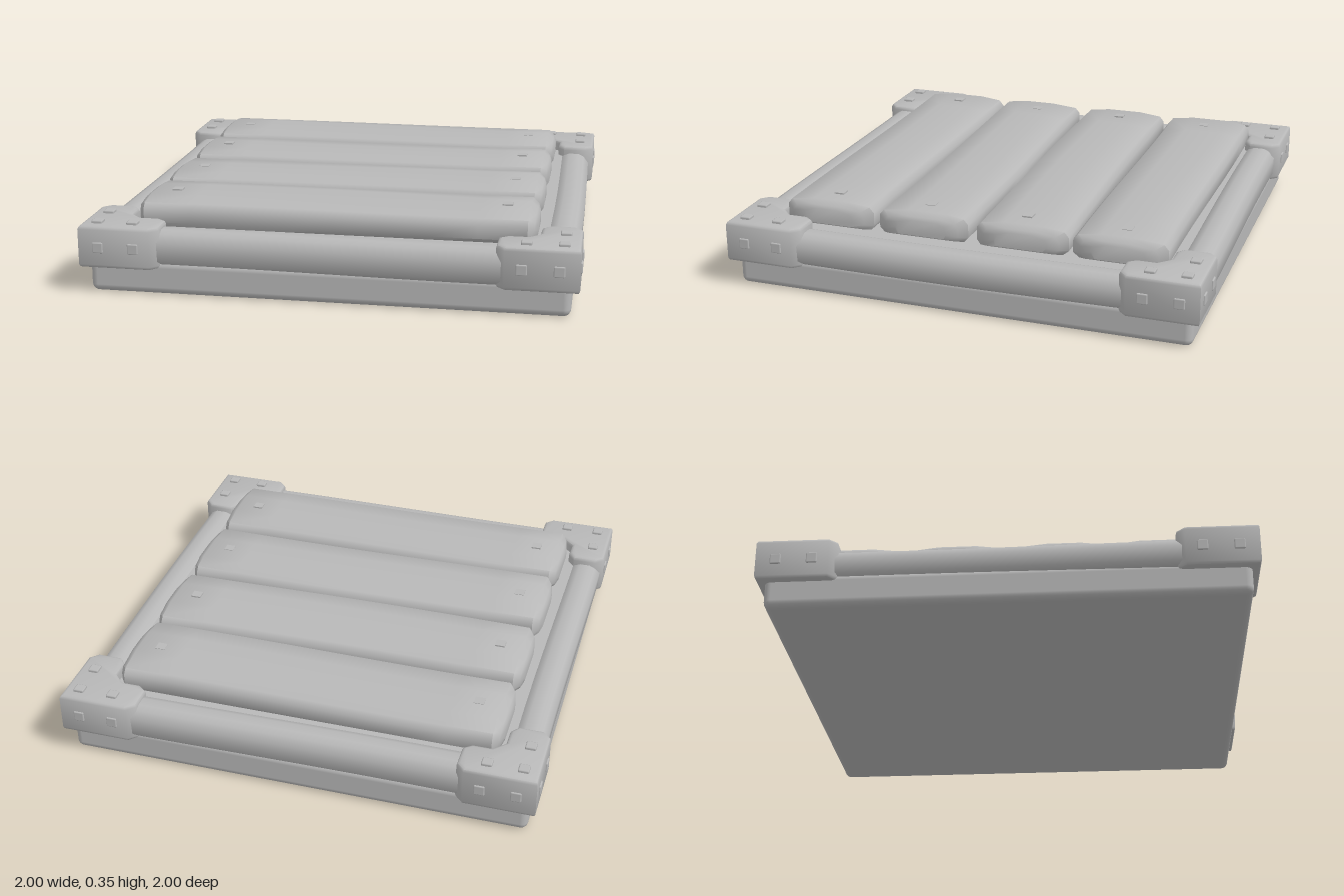
import * as THREE from 'three';
import { toCreasedNormals } from 'three/addons/utils/BufferGeometryUtils.js';
import { RoundedBoxGeometry } from 'three/addons/geometries/RoundedBoxGeometry.js';

// Skin a row of closed [y, z] rings placed along x, with fan caps.
function loft(sections) {
  const n = sections[0].ring.length, pos = [], idx = [];
  sections.forEach(s => s.ring.forEach(([y, z]) => pos.push(s.x, y, z)));
  for (let i = 0; i < sections.length - 1; i++) {
    for (let j = 0; j < n; j++) {
      const a = i * n + j, b = i * n + (j + 1) % n;
      idx.push(a, b, a + n, b, b + n, a + n);
    }
  }
  const last = (sections.length - 1) * n;
  for (let j = 1; j < n - 1; j++) {
    idx.push(0, j + 1, j, last, last + j, last + j + 1);
  }
  const g = new THREE.BufferGeometry();
  g.setAttribute('position', new THREE.Float32BufferAttribute(pos, 3));
  g.setIndex(idx);
  return toCreasedNormals(g, 0.9);
}

// Hand-hewn plank: domed top, wavy long edges, blunted ends.
function plankGeometry(seed) {
  const ring = (x, w, top, bottom) => {
    const wave = 0.006 * Math.sin(x * 3 + seed * 2);
    const ridge = 0.025 * Math.sin(x * 2.2 + seed * 1.7);
    const low = bottom + 0.02, high = top - 0.035;
    return { x, ring: [
      [bottom, 0.9 * w], [bottom, -0.9 * w], [low, -w + wave], [high, -w + wave],
      [top - 0.012, -0.9 * w + wave], [top, -0.4 * w + ridge], [top, 0.4 * w + ridge * 0.4],
      [top - 0.012, 0.9 * w + wave], [high, w + wave], [low, w + wave],
    ] };
  };
  const sections = [ring(-0.815, 0.11, 0.315, 0.25), ring(-0.805, 0.16, 0.328, 0.243)];
  for (let i = 0; i <= 8; i++) sections.push(ring(-0.78 + 0.195 * i, 0.194, 0.345, 0.235));
  sections.push(ring(0.805, 0.16, 0.328, 0.243), ring(0.815, 0.11, 0.315, 0.25));
  return loft(sections);
}

// Frame rail with bevelled edges and a slight bend.
function railGeometry(seed, top) {
  const sections = [];
  for (let i = 0; i <= 8; i++) {
    const x = -0.95 + 0.2375 * i;
    const bend = 0.006 * Math.sin(x * 2.5 + seed * 1.9);
    sections.push({ x, ring: [
      [0.12, -0.05], [0.14, -0.07], [top - 0.045, -0.072], [top - 0.012, -0.05], [top, -0.02],
      [top, 0.025], [top - 0.012, 0.05], [top - 0.045, 0.072], [0.14, 0.07], [0.12, 0.05],
    ].map(([y, z]) => [y, z + bend]) });
  }
  return loft(sections);
}

// L-shaped corner plate outline with clipped corners.
function bracketGeometry() {
  const half = [[0.98, 0.98], [0.71, 0.98], [0.685, 0.955], [0.685, 0.865], [0.71, 0.845], [0.79, 0.845]];
  const outline = half.concat(half.slice(1).reverse().map(([a, b]) => [b, a]));
  const shape = new THREE.Shape(outline.map(([x, z]) => new THREE.Vector2(x, -z)));
  const g = new THREE.ExtrudeGeometry(shape, {
    depth: 0.145, bevelThickness: 0.015, bevelSize: 0.015, bevelSegments: 2,
  });
  g.rotateX(-Math.PI / 2);
  g.translate(0, 0.123, 0);
  return toCreasedNormals(g, 0.9);
}

export function createModel() {
  const model = new THREE.Group();
  model.name = 'plankPlatform';
  const grey = new THREE.MeshStandardMaterial({ color: 0xb8b8b8 });
  grey.name = 'plain grey';

  const add = (parent, name, geometry, x = 0, y = 0, z = 0) => {
    const mesh = new THREE.Mesh(geometry, grey);
    mesh.name = name;
    mesh.position.set(x, y, z);
    parent.add(mesh);
    return mesh;
  };

  // Base slab and the raised deck under the planks
  add(model, 'baseSlab', new RoundedBoxGeometry(1.925, 0.14, 1.925, 3, 0.03), 0, 0.07, 0);
  add(model, 'deck', new THREE.BoxGeometry(1.72, 0.12, 1.72), 0, 0.175, 0);

  // Planks with a square nail head near each end
  const nail = new THREE.BoxGeometry(0.042, 0.02, 0.042);
  [-0.63, -0.215, 0.205, 0.615].forEach((z, i) => {
    add(model, 'plank', plankGeometry(i), 0, 0, z);
    const y = i % 2 ? 0.341 : 0.337;
    for (const x of [-0.687, 0.687]) add(model, 'plankNail', nail, x, y, z);
  });

  // Four rails and four corner brackets, turned around the centre
  const bracket = bracketGeometry();
  const stud = new RoundedBoxGeometry(0.044, 0.044, 0.03, 1, 0.005);
  for (let i = 0; i < 4; i++) {
    const side = new THREE.Group();
    side.name = 'frameSide';
    side.rotation.y = i * Math.PI / 2;
    model.add(side);
    add(side, 'rail', railGeometry(i, i % 2 ? 0.25 : 0.262), 0, 0, 0.905);

    add(side, 'cornerBracket', bracket);
    for (const [x, z] of [[0.93, 0.93], [0.785, 0.93], [0.93, 0.785]]) {
      add(side, 'topStud', stud, x, 0.279, z).rotation.x = Math.PI / 2;
    }
    for (const d of [0.77, 0.915]) {
      add(side, 'sideStud', stud, d, 0.195, 0.986);
      add(side, 'sideStud', stud, 0.986, 0.195, d).rotation.y = Math.PI / 2;
    }
  }
  return model;
}
